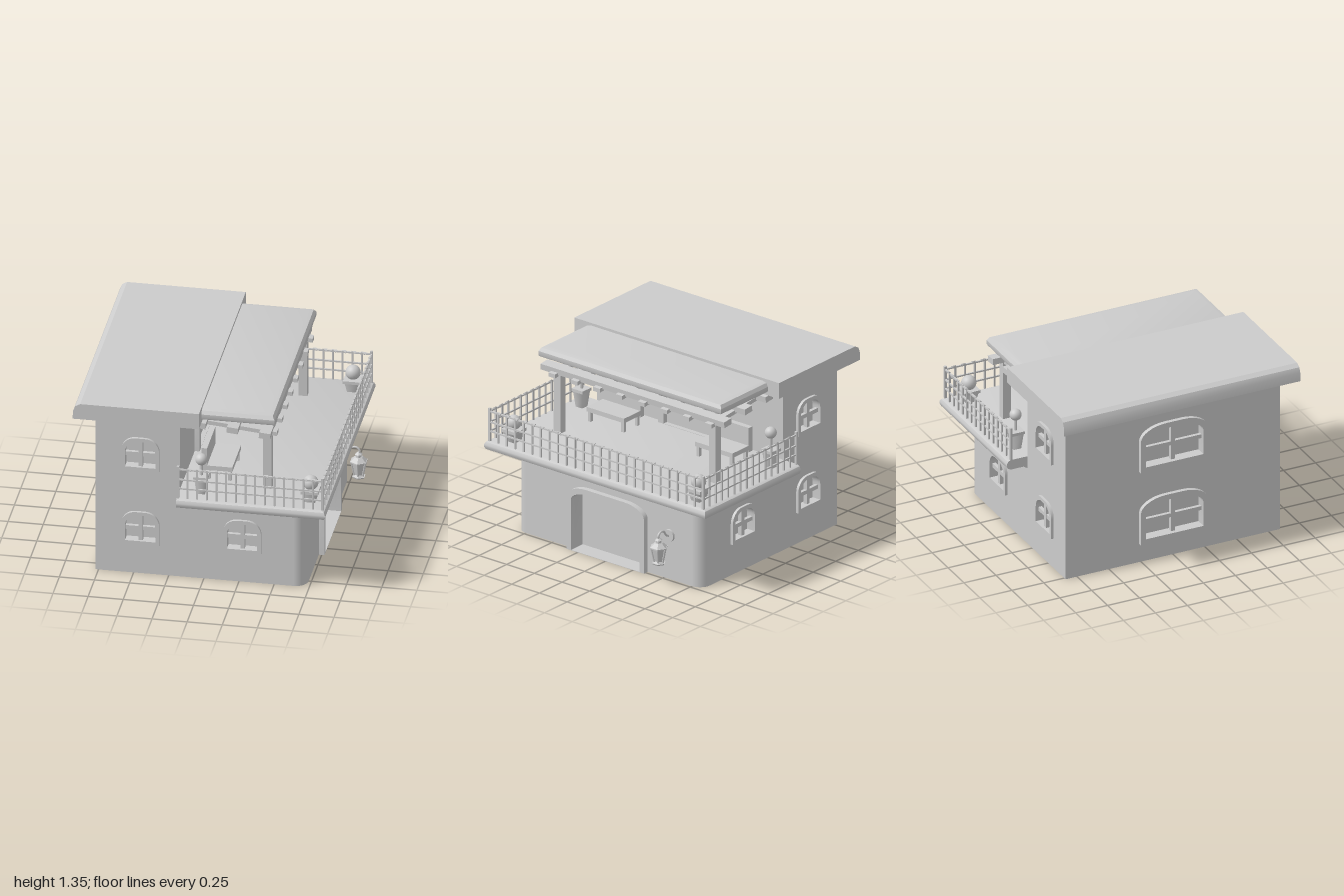
import * as THREE from 'three';
import { toCreasedNormals } from 'three/addons/utils/BufferGeometryUtils.js';
import { ConvexGeometry } from 'three/addons/geometries/ConvexGeometry.js';

const mat = new THREE.MeshStandardMaterial({ color: 0xcccccc });

function add(parent, name, geo, x = 0, y = 0, z = 0) {
  const m = new THREE.Mesh(geo, mat);
  m.name = name;
  m.position.set(x, y, z);
  parent.add(m);
  return m;
}

function group(parent, name, x = 0, y = 0, z = 0) {
  const g = new THREE.Group();
  g.name = name;
  g.position.set(x, y, z);
  parent.add(g);
  return g;
}

// Box given by its two opposite corners
function block(parent, name, [x0, y0, z0], [x1, y1, z1]) {
  return add(parent, name, new THREE.BoxGeometry(x1 - x0, y1 - y0, z1 - z0),
    (x0 + x1) / 2, (y0 + y1) / 2, (z0 + z1) / 2);
}

function extrude(shape, depth) {
  const geo = new THREE.ExtrudeGeometry(shape, { depth, bevelEnabled: false, curveSegments: 8 });
  return toCreasedNormals(geo, 0.5);
}

const polygon = pts => new THREE.Shape(pts.map(p => new THREE.Vector2(...p)));

// Opening outline with elliptical upper corners
function arch(cx, y, w, h, rx, ry, S = THREE.Shape) {
  const s = new S(), l = cx - w / 2, r = cx + w / 2, t = y + h, k = 0.45;
  s.moveTo(l, y);
  s.lineTo(r, y);
  s.lineTo(r, t - ry);
  s.bezierCurveTo(r, t - ry * k, r - rx * k, t, r - rx, t);
  s.lineTo(l + rx, t);
  s.bezierCurveTo(l + rx * k, t, l, t - ry * k, l, t - ry);
  s.lineTo(l, y);
  return s;
}

// Wall facing local +z with its outer surface at z = 0, pierced by framed openings
function wall(parent, name, outline, depth, openings) {
  const g = group(parent, name);
  const shape = polygon(outline);
  for (const { x, y, w, h, rx, ry, frame, out, bars, sill = frame } of openings) {
    const inner = S => arch(x, y + sill, w - 2 * frame, h - frame - sill, rx - frame * 0.6, ry - frame * 0.6, S);
    shape.holes.push(inner(THREE.Path));
    const trim = arch(x, y, w, h, rx, ry);
    trim.holes.push(inner(THREE.Path));
    add(g, bars ? 'windowFrame' : 'doorFrame', extrude(trim, out));
    if (bars) {
      add(g, 'windowUpright', new THREE.BoxGeometry(0.03, h - 2 * frame, 0.03), x, y + h / 2, -0.015);
      add(g, 'windowCrossbar', new THREE.BoxGeometry(w - 2 * frame, 0.03, 0.026), x, y + h * 0.47, -0.015);
    }
  }
  add(g, name + 'Panel', extrude(shape, depth), 0, 0, -depth);
  return g;
}

// Slab running out from x0 with the same edge profile [offset, y] on its three free sides
function slab(parent, name, x0, x1, z, profile) {
  const pts = [];
  for (const [o, y] of profile)
    for (const s of [-1, 1])
      pts.push(new THREE.Vector3(x0, y, s * (z + o)), new THREE.Vector3(x1 + o, y, s * (z + o)));
  add(parent, name, toCreasedNormals(new ConvexGeometry(pts), 0.5));
}

function buildHouse(root) {
  const house = group(root, 'house');
  block(house, 'lowerCore', [-0.72, 0, -0.79], [0.64, 0.62, 0.79]);
  block(house, 'towerCore', [-0.72, 0.62, -0.79], [-0.17, 1.23, 0.79]);

  // Front and back walls
  const small = (x, y) => ({ x, y, w: 0.27, h: 0.255, rx: 0.1, ry: 0.1, frame: 0.027, out: 0.02, bars: true });
  for (const s of [1, -1]) {
    const outline = [[-0.77, 0], [0.64, 0], [0.64, 0.62], [-0.17, 0.62], [-0.17, 1.23], [-0.77, 1.23]];
    const w = wall(house, s > 0 ? 'frontWall' : 'backWall', outline.map(([x, y]) => [x * s, y]), 0.05,
      [small(-0.45 * s, 0.235), small(-0.45 * s, 0.82), small(0.275 * s, 0.235)]);
    w.position.z = 0.84 * s;
    w.rotation.y = s > 0 ? 0 : Math.PI;
    // Rounded corner beside the doorway
    add(house, 'roundedCorner', new THREE.CylinderGeometry(0.09, 0.09, 0.62, 32), 0.64, 0.31, 0.75 * s);
  }

  // Tall side wall with two wide windows
  const big = y => ({ x: 0, y, w: 0.53, h: 0.355, rx: 0.2, ry: 0.11, frame: 0.04, out: 0.03, bars: true });
  const side = wall(house, 'rightWall', [[-0.79, 0], [0.79, 0], [0.79, 1.23], [-0.79, 1.23]], 0.05, [big(0.145), big(0.715)]);
  side.position.x = -0.77;
  side.rotation.y = -Math.PI / 2;

  // Doorway wall under the balcony
  const door = wall(house, 'doorWall', [[-0.75, 0], [0.75, 0], [0.75, 0.62], [-0.75, 0.62]], 0.09,
    [{ x: 0, y: 0, w: 0.7, h: 0.495, rx: 0.18, ry: 0.09, frame: 0.04, out: 0.04, sill: 0.003 }]);
  door.position.x = 0.73;
  door.rotation.y = Math.PI / 2;

  // Arched surround of the balcony door
  const trim = arch(0, 0.69, 0.52, 0.375, 0.2, 0.1);
  trim.holes.push(arch(0, 0.693, 0.42, 0.335, 0.17, 0.08, THREE.Path));
  add(house, 'balconyDoorFrame', extrude(trim, 0.035), -0.17).rotation.y = Math.PI / 2;
}

function buildRoofs(root) {
  const main = polygon([[-0.92, 1.225], [-0.02, 1.225], [-0.02, 1.345], [-0.865, 1.345], [-0.9, 1.325], [-0.915, 1.29]]);
  add(root, 'mainRoof', extrude(main, 1.85), 0, 0, -0.925);
  slab(root, 'terraceRoof', -0.06, 0.45, 0.775,
    [[0.045, 1.25], [0.05, 1.26], [0.05, 1.29], [0.035, 1.315], [0.0, 1.325]]);

  // Sloping rafters, purlins and posts carrying the terrace roof
  const pergola = group(root, 'pergola');
  const rafter = polygon([[-0.18, 1.185], [0.5, 1.12], [0.5, 1.15], [-0.18, 1.215]]);
  for (let i = 0; i < 8; i++)
    add(pergola, 'rafter', extrude(rafter, 0.06), 0, 0, -0.74 + i * 0.202);
  for (const [x, y] of [[-0.03, 1.203], [0.2, 1.185], [0.43, 1.163]])
    add(pergola, 'purlin', new THREE.BoxGeometry(0.08, 0.045, 1.66), x, y, 0).rotation.z = -0.09;
  for (const z of [-0.715, 0.69])
    block(pergola, 'post', [0.4, 0.68, z - 0.03], [0.46, 1.14, z + 0.03]);
}

function buildBalcony(root) {
  const b = group(root, 'balcony');
  slab(b, 'deck', -0.17, 0.845, 0.955,
    [[0.015, 0.615], [0.035, 0.625], [0.045, 0.645], [0.045, 0.66], [0.035, 0.68], [0.015, 0.69]]);
  slab(b, 'deckMoulding', -0.17, 0.73, 0.84, [[0, 0.595], [0.035, 0.62]]);

  // One straight run of railing along local +x
  function railing(length, n, x, z, turn) {
    const g = group(b, 'railing', x, 0, z);
    g.rotation.y = turn;
    for (const y of [0.765, 0.835, 0.915])
      add(g, 'rail', new THREE.BoxGeometry(length, 0.011, 0.011), length / 2, y, 0);
    for (let i = 0; i <= n; i++) {
      const u = i * length / n, end = i === 0 || i === n, t = end ? 0.018 : 0.012;
      add(g, 'baluster', new THREE.BoxGeometry(t, end ? 0.25 : 0.235, t), u, 0.69 + (end ? 0.125 : 0.1175), 0);
      if (!end) add(g, 'finial', new THREE.ConeGeometry(0.014, 0.035, 4), u + 0.008, 0.922, 0).rotation.z = 1.2;
    }
  }
  railing(1.03, 15, -0.162, 0.965, 0);
  railing(1.03, 15, -0.162, -0.965, 0);
  railing(1.93, 25, 0.868, 0.965, Math.PI / 2);

  // Benches with their backs to the tower
  for (const s of [1, -1]) {
    const bench = group(b, 'bench', 0, 0.69, s * 0.49);
    block(bench, 'benchSeat', [-0.02, 0.075, -0.17], [0.17, 0.11, 0.17]);
    block(bench, 'benchBack', [-0.05, 0.06, -0.17], [-0.01, 0.245, 0.17]);
    for (const x of [0, 0.15])
      for (const z of [-0.15, 0.15])
        block(bench, 'benchLeg', [x - 0.012, 0, z - 0.012], [x + 0.012, 0.08, z + 0.012]);
  }

  // Square tapered pots with clipped round bushes
  function plant(x, z, potH, w, stem, r) {
    const p = group(b, 'pottedPlant', x, 0.69, z);
    add(p, 'pot', new THREE.CylinderGeometry(w * 0.64, w * 0.42, potH, 4).rotateY(Math.PI / 4), 0, potH / 2, 0);
    add(p, 'potRim', new THREE.BoxGeometry(w, 0.022, w), 0, potH - 0.011, 0);
    if (stem) add(p, 'stem', new THREE.CylinderGeometry(0.012, 0.012, stem + r, 8), 0, potH + (stem + r) / 2, 0);
    add(p, 'bush', new THREE.SphereGeometry(r, 20, 14), 0, potH + stem + r * 0.85, 0);
  }
  for (const s of [1, -1]) {
    plant(0.76, s * 0.835, 0.095, 0.125, 0, 0.054);
    plant(-0.015, s * 0.855, 0.14, 0.1, 0.085, 0.043);
  }
}

function buildLantern(root) {
  const l = group(root, 'lantern', 0.852, 0, -0.55);
  const hook = new THREE.CatmullRomCurve3([[-0.12, 0.33], [-0.08, 0.35], [-0.055, 0.385], [-0.02, 0.392], [0.005, 0.37], [0, 0.34]]
    .map(([x, y]) => new THREE.Vector3(x, y, 0)));
  add(l, 'hook', new THREE.TubeGeometry(hook, 24, 0.008, 8));
  add(l, 'wallPlate', new THREE.CylinderGeometry(0.045, 0.045, 0.02, 20).rotateZ(Math.PI / 2), -0.115, 0.335, 0);
  // Stacked six-sided tiers: [top radius, bottom radius, bottom y, top y]
  const tiers = [[0.05, 0.045, 0.158, 0.168], [0.03, 0.042, 0.168, 0.182], [0.052, 0.033, 0.182, 0.28],
    [0.066, 0.066, 0.28, 0.288], [0.03, 0.062, 0.288, 0.318], [0.022, 0.022, 0.318, 0.338], [0.004, 0.028, 0.338, 0.358]];
  for (const [t, u, y0, y1] of tiers)
    add(l, 'lanternTier', toCreasedNormals(new THREE.CylinderGeometry(t, u, y1 - y0, 6), 0.5), 0, (y0 + y1) / 2, 0);
  for (let i = 0; i < 6; i++) {
    const a = i * Math.PI / 3;
    const rib = new THREE.LineCurve3(new THREE.Vector3(Math.sin(a) * 0.035, 0.178, Math.cos(a) * 0.035),
      new THREE.Vector3(Math.sin(a) * 0.057, 0.283, Math.cos(a) * 0.057));
    add(l, 'lanternRib', new THREE.TubeGeometry(rib, 1, 0.006, 6));
  }
}

export function createModel() {
  const root = new THREE.Group();
  root.name = 'terraceHouse';
  buildHouse(root);
  buildRoofs(root);
  buildBalcony(root);
  buildLantern(root);
  return root;
}
